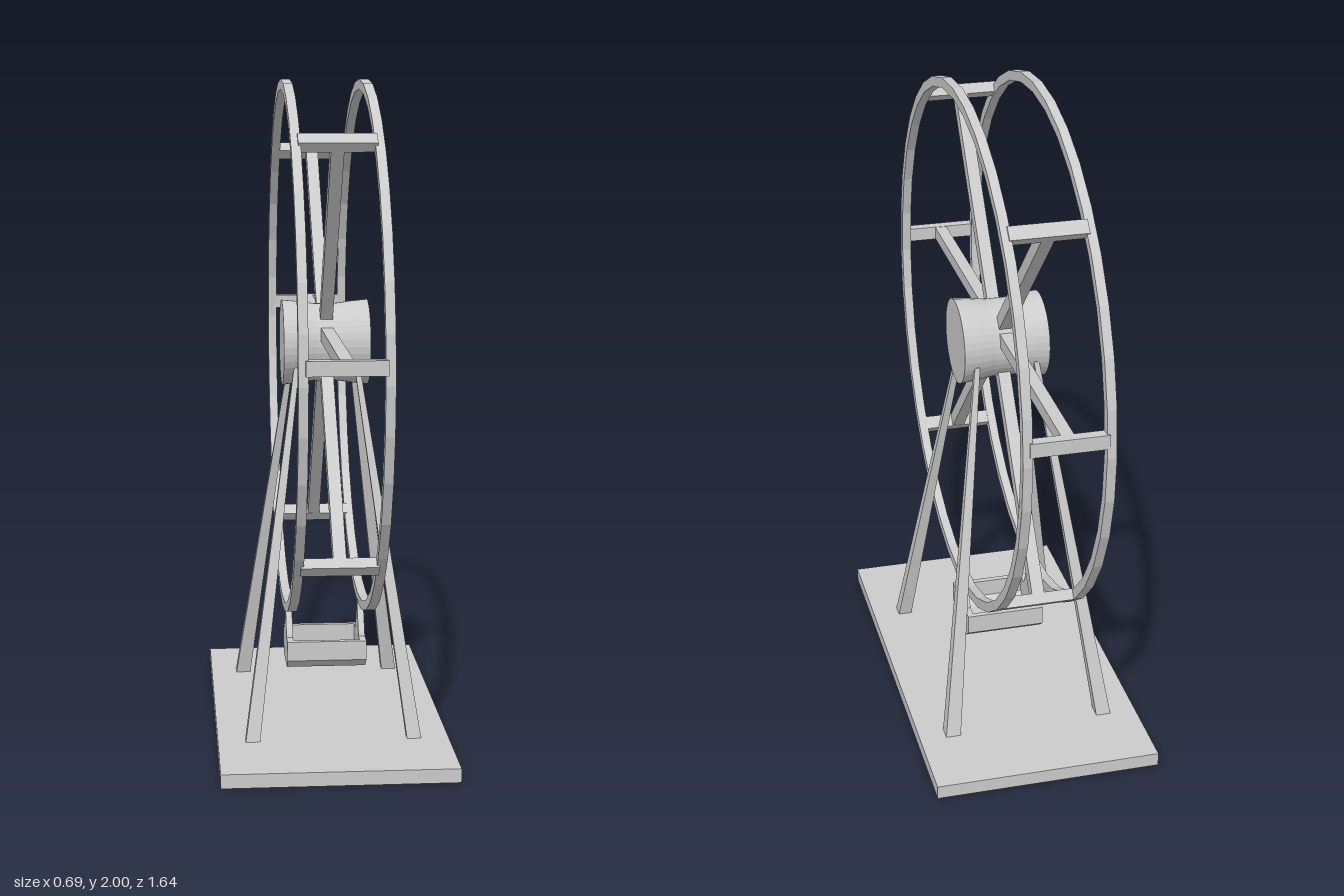
import * as THREE from 'three';

const material = new THREE.MeshStandardMaterial({ color: 0xcccccc, flatShading: true, side: THREE.DoubleSide });

function add(parent, name, geometry, x = 0, y = 0, z = 0) {
  const mesh = new THREE.Mesh(geometry, material);
  mesh.name = name;
  mesh.position.set(x, y, z);
  parent.add(mesh);
  return mesh;
}

// Lathe a [radius, height] profile, then lay its axis along x
function latheX(points, segments) {
  return new THREE.LatheGeometry(points.map(p => new THREE.Vector2(...p)), segments).rotateZ(Math.PI / 2);
}

// Extrude a [z, y] outline along x, centred on x = 0
function extrudeX(points, width) {
  const shape = new THREE.Shape(points.map(p => new THREE.Vector2(...p)));
  return new THREE.ExtrudeGeometry(shape, { depth: width, bevelEnabled: false })
    .translate(0, 0, -width / 2).rotateY(-Math.PI / 2);
}

// Square tapered post sheared from a foot to a top point, with level ends
function leg(foot, top, footSize, topSize) {
  const h = top[1] - foot[1];
  const g = new THREE.CylinderGeometry(topSize * Math.SQRT1_2, footSize * Math.SQRT1_2, h, 4)
    .rotateY(Math.PI / 4).translate(0, h / 2, 0);
  const kx = (top[0] - foot[0]) / h, kz = (top[2] - foot[2]) / h;
  g.applyMatrix4(new THREE.Matrix4().set(1, kx, 0, foot[0], 0, 1, 0, foot[1], 0, kz, 1, foot[2], 0, 0, 0, 1));
  return g;
}

function createWheel() {
  const wheel = new THREE.Group();
  wheel.name = 'wheel';

  // Twin rims
  const ro = 0.816, ri = 0.786, w = 0.014;
  for (const side of [1, -1]) {
    add(wheel, side > 0 ? 'leftRim' : 'rightRim',
      latheX([[ro, -w], [ro, w], [ri, w], [ri, -w], [ro, -w]], 36), side * 0.119, 1.185, -0.003);
  }

  // Hub drum with a slight waist
  add(wheel, 'hub', latheX([[0, -0.132], [0.131, -0.132], [0.126, -0.08], [0.119, -0.03],
    [0.119, 0.03], [0.126, 0.08], [0.131, 0.132], [0, 0.132]], 36), 0, 1.2, 0);

  // Six spokes, each ending in a crossbar that joins the rims
  const spokes = [[0, 0.036], [52.5, 0], [135, 0], [180, 0.036], [-127.5, 0], [-45, 0]];
  for (const [degrees, lift] of spokes) {
    const a = THREE.MathUtils.degToRad(degrees);
    const r = 0.802 - 0.012 * Math.sin(a);
    const arm = new THREE.Group();
    arm.name = 'spokeArm';
    arm.position.y = 1.2 + lift;
    arm.rotation.x = -a;
    add(arm, 'spoke', new THREE.BoxGeometry(0.038, 0.041, r - 0.04), 0, 0, (r + 0.04) / 2);
    add(arm, 'crossbar', new THREE.BoxGeometry(0.226, 0.043, 0.034), 0, 0, r);
    wheel.add(arm);
  }
  return wheel;
}

function createGondola() {
  const gondola = new THREE.Group();
  gondola.name = 'gondola';

  // Open tub
  add(gondola, 'tub', extrudeX([
    [-0.11, 0.275], [-0.11, 0.215], [-0.07, 0.185], [0.07, 0.185], [0.11, 0.215], [0.11, 0.275],
    [0.092, 0.275], [0.092, 0.222], [0.064, 0.203], [-0.064, 0.203], [-0.092, 0.222], [-0.092, 0.275],
  ], 0.206));

  // End panels rising into hangers
  const panel = [[-0.11, 0.275], [-0.11, 0.215], [-0.07, 0.185], [0.07, 0.185], [0.11, 0.215], [0.11, 0.275],
    [0.055, 0.275], [0.052, 0.285], [0.012, 0.35], [0.008, 0.38],
    [-0.008, 0.38], [-0.012, 0.35], [-0.052, 0.285], [-0.055, 0.275]];
  for (const side of [1, -1]) add(gondola, 'endPanel', extrudeX(panel, 0.02), side * 0.113);
  return gondola;
}

export function createModel() {
  const model = new THREE.Group();
  model.name = 'ferrisWheel';

  add(model, 'base', new THREE.BoxGeometry(0.695, 0.042, 1.3), 0, 0.021, 0);

  // Four splayed legs rising to the hub
  for (const sx of [1, -1]) {
    add(model, 'frontLeg', leg([sx * 0.243, 0.04, 0.347], [sx * 0.092, 1.14, 0.1], 0.043, 0.016));
    add(model, 'backLeg', leg([sx * 0.243, 0.04, -0.387], [sx * 0.092, 1.16, -0.115], 0.046, 0.016));
  }

  model.add(createWheel(), createGondola());
  return model;
}
